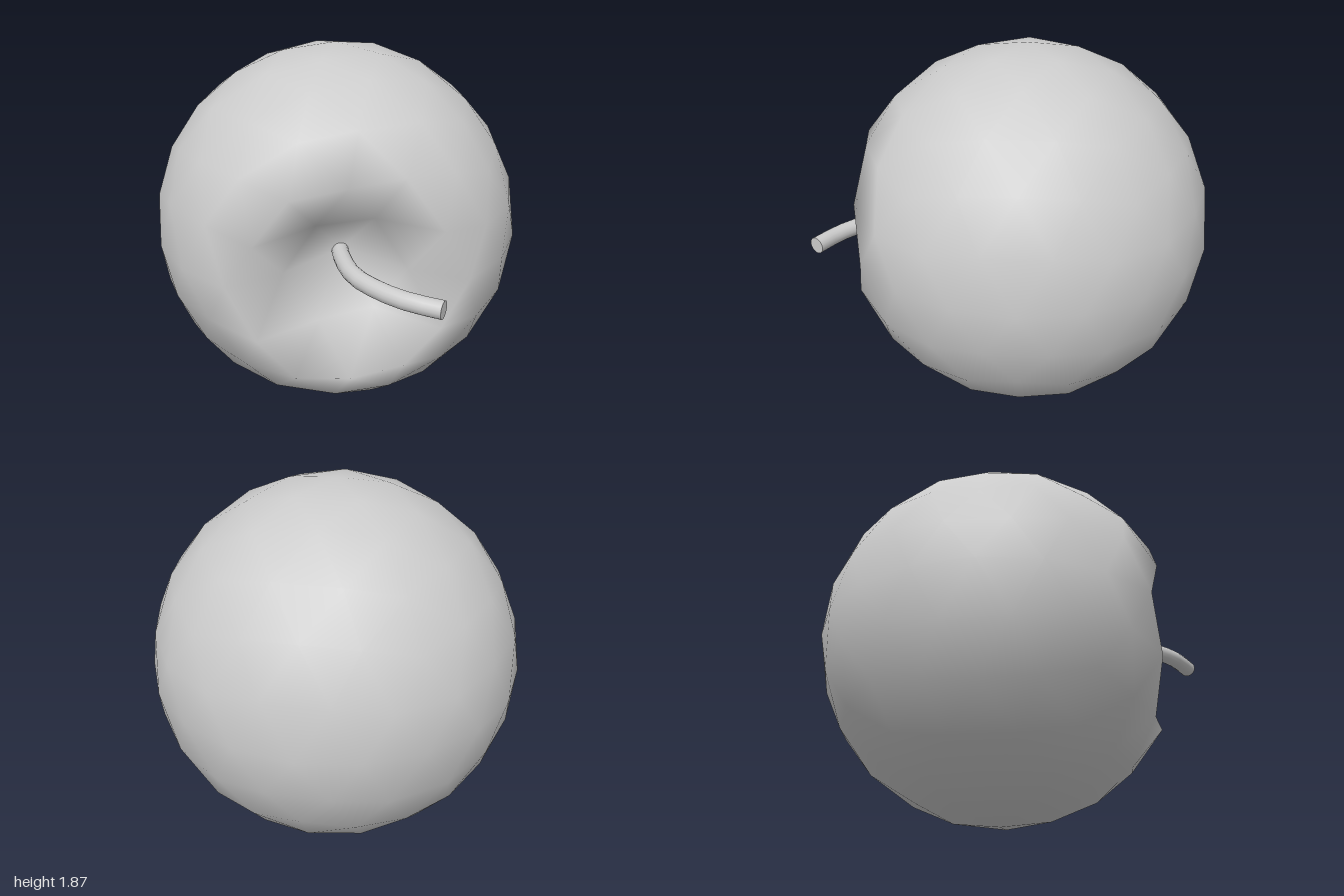
import * as THREE from 'three';
import { mergeVertices } from 'three/addons/utils/BufferGeometryUtils.js';

const RADIUS = 0.937;
const STEM_RADIUS = 0.042;

// Keep positions only and weld them, so normals come out smooth
function weld(geometry) {
  geometry.deleteAttribute('normal');
  geometry.deleteAttribute('uv');
  return mergeVertices(geometry, 1e-4);
}

// Twice-subdivided icosphere, one corner pointing up
function icosphere(radius) {
  const half = weld(new THREE.IcosahedronGeometry(1, 1));
  const full = new THREE.PolyhedronGeometry(
    Array.from(half.attributes.position.array), Array.from(half.index.array), radius, 1);
  return weld(full).rotateZ(Math.atan(2 / (1 + Math.sqrt(5))));
}

export function createModel() {
  const model = new THREE.Group();
  model.name = 'fruit';
  const material = new THREE.MeshStandardMaterial({ color: 0xcccccc });

  // Body: sphere with the front pushed in to a hollow
  const bodyGeometry = icosphere(RADIUS);
  const p = bodyGeometry.attributes.position;
  for (let i = 0; i < p.count; i++) {
    const r = Math.hypot(p.getX(i), p.getY(i));
    if (p.getZ(i) > 0 && r < 0.36) p.setZ(i, 0.38 + 0.85 * r);
  }
  bodyGeometry.computeVertexNormals();
  const body = new THREE.Mesh(bodyGeometry, material);
  body.name = 'body';
  body.position.set(0, RADIUS, -0.063);
  model.add(body);

  // Stem: rises from the hollow and bends sideways
  const stem = new THREE.Group();
  stem.name = 'stem';
  const path = new THREE.CatmullRomCurve3([
    [-0.01, 0.25], [-0.008, 0.42], [0.03, 0.62], [0.11, 0.75], [0.23, 0.87], [0.375, 0.957],
  ].map(([x, z]) => new THREE.Vector3(x, RADIUS + 0.005, z)));
  const stalk = new THREE.Mesh(new THREE.TubeGeometry(path, 10, STEM_RADIUS, 16), material);
  stalk.name = 'stalk';
  stem.add(stalk);

  // Flat discs closing both ends
  for (const [name, t, sign] of [['stemBase', 0, -1], ['stemTip', 1, 1]]) {
    const cap = new THREE.Mesh(new THREE.CircleGeometry(STEM_RADIUS, 16), material);
    cap.name = name;
    cap.position.copy(path.getPointAt(t));
    cap.lookAt(cap.position.clone().addScaledVector(path.getTangentAt(t), sign));
    stem.add(cap);
  }
  model.add(stem);

  return model;
}
